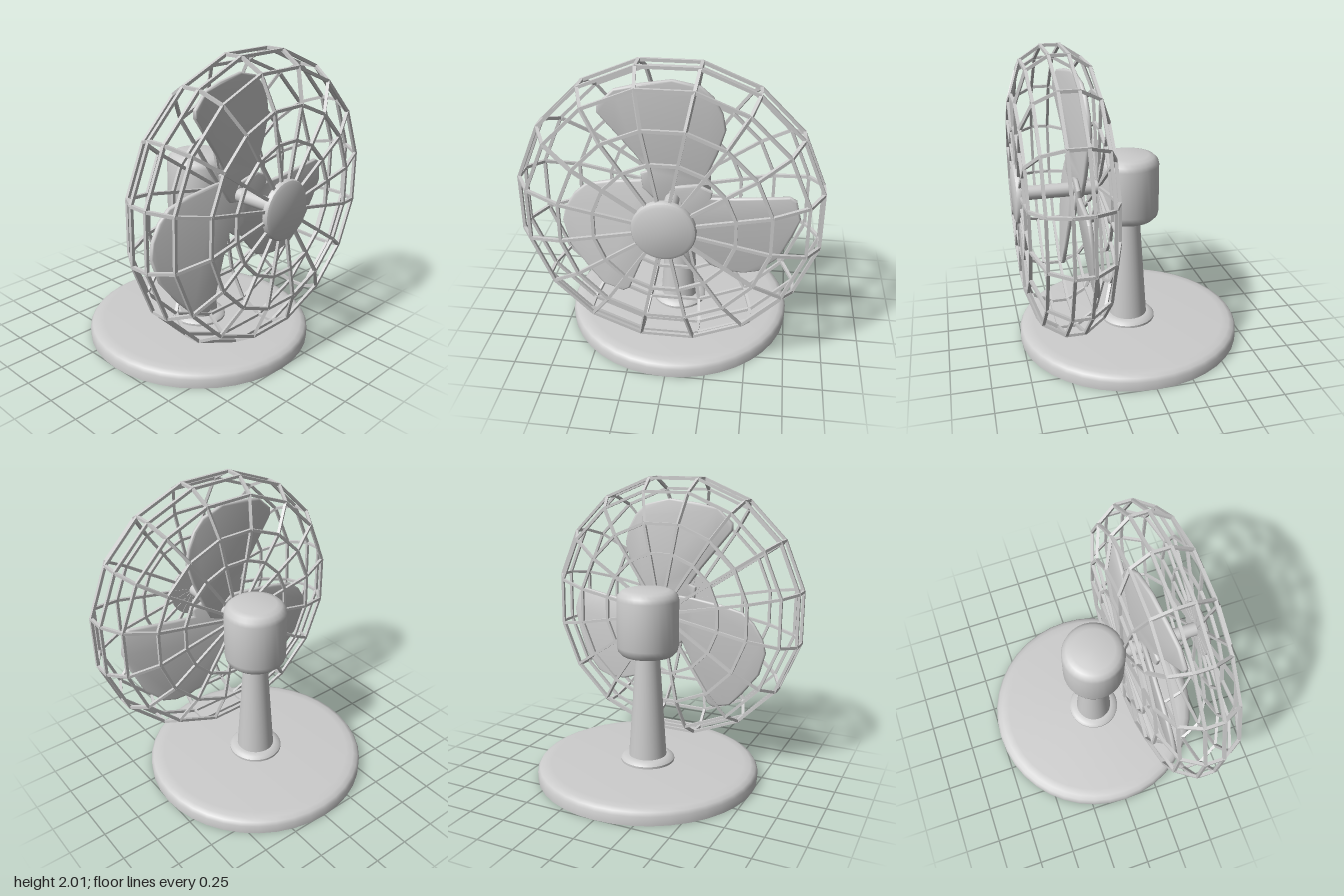
import * as THREE from 'three';
import { mergeGeometries, toCreasedNormals } from 'three/addons/utils/BufferGeometryUtils.js';

const AXIS_Y = 1.09; // height of the fan axle, which points along +x

const grey = new THREE.MeshStandardMaterial({ color: 0xcccccc });
grey.name = 'grey';

function mesh(name, geometry) {
  const m = new THREE.Mesh(geometry, grey);
  m.name = name;
  return m;
}

// Turned part around y from [radius, height] pairs, bottom to top
function turned(points, sides = 32) {
  const g = new THREE.LatheGeometry(points.map(([r, y]) => new THREE.Vector2(r, y)), sides);
  return toCreasedNormals(g, 0.6);
}

// Square wire between two points
function strut(a, b, size = 0.019) {
  const g = new THREE.BoxGeometry(size, size, a.distanceTo(b) + size * 0.4);
  const o = new THREE.Object3D();
  o.position.copy(a);
  o.lookAt(b);
  o.position.add(b).multiplyScalar(0.5);
  o.updateMatrix();
  return g.applyMatrix4(o.matrix);
}

// Wire guard: rings joined by ribs that meet on the axle
function cageGeometry() {
  const sides = 16;
  const profile = [
    [0.20, 0], [0.20, 0.423], [0.20, 0.63], [0.27, 0.84], [0.40, 0.925],
    [0.52, 0.925], [0.655, 0.84], [0.725, 0.63], [0.725, 0.423], [0.725, 0],
  ];
  const point = ([x, r], i) => {
    const a = ((i + 0.5) / sides) * Math.PI * 2;
    return new THREE.Vector3(x, r * Math.cos(a), r * Math.sin(a));
  };
  const parts = [];
  for (let i = 0; i < sides; i++) {
    profile.forEach((p, j) => {
      if (p[1] > 0) parts.push(strut(point(p, i), point(p, i + 1)));
      if (j > 0) parts.push(strut(point(profile[j - 1], i), point(p, i)));
    });
  }
  return mergeGeometries(parts);
}

// Pitched blade with a swept leading corner and softened edge
function bladeGeometry() {
  const outline = [
    [0.02, -0.05], [0.12, 0], [0.18, 0.12], [0.26, 0.31], [0.305, 0.46], [0.285, 0.56],
    [0.23, 0.66], [0.16, 0.725], [0, 0.765], [-0.2, 0.74], [-0.33, 0.71], [-0.425, 0.62],
    [-0.425, 0.58], [-0.33, 0.46], [-0.22, 0.32], [-0.13, 0.19], [-0.18, 0.17],
    [-0.17, 0.08], [-0.08, -0.02],
  ];
  const shape = new THREE.Shape(outline.map(([u, v]) => new THREE.Vector2(u, v)));
  const g = new THREE.ExtrudeGeometry(shape, {
    depth: 0.012, bevelEnabled: true, bevelThickness: 0.009, bevelSize: 0.012, bevelSegments: 2,
  });
  const p = g.attributes.position;
  for (let i = 0; i < p.count; i++) p.setZ(i, p.getZ(i) + 0.342 - 0.13 * p.getX(i));
  g.rotateY(Math.PI / 2);
  return toCreasedNormals(g, 0.9);
}

export function createModel() {
  const model = new THREE.Group();
  model.name = 'deskFan';

  // Stand
  model.add(mesh('base', turned([
    [0, 0], [0.76, 0], [0.76, 0.06], [0.745, 0.083], [0.715, 0.096], [0.665, 0.1], [0, 0.1],
  ], 40)));
  model.add(mesh('collar', turned([
    [0.185, 0.095], [0.185, 0.115], [0.17, 0.132], [0.14, 0.14], [0, 0.14],
  ])));
  model.add(mesh('neck', turned([[0.13, 0.135], [0.08, 0.87]])));

  // Motor housing
  model.add(mesh('motorHousing', turned([
    [0, 0.85], [0.14, 0.85], [0.175, 0.86], [0.2, 0.885], [0.208, 0.92],
    [0.208, 1.235], [0.2, 1.265], [0.175, 1.29], [0.14, 1.3], [0, 1.3],
  ])));

  // Fan head, built around the axle
  const head = new THREE.Group();
  head.name = 'fanHead';
  head.position.y = AXIS_Y;
  model.add(head);

  const shaft = mesh('shaft', new THREE.CylinderGeometry(0.046, 0.046, 0.6, 20));
  shaft.rotation.z = -Math.PI / 2;
  shaft.position.x = 0.43;
  head.add(shaft);

  const cap = mesh('frontCap', turned([
    [0, 0.718], [0.192, 0.718], [0.192, 0.735], [0.185, 0.748], [0.165, 0.758], [0, 0.76],
  ]));
  cap.rotation.z = -Math.PI / 2;
  head.add(cap);

  head.add(mesh('wireGuard', cageGeometry()));

  const blade = bladeGeometry();
  for (let i = 0; i < 3; i++) {
    const b = mesh('blade', blade);
    b.rotation.x = (i * Math.PI * 2) / 3;
    head.add(b);
  }
  return model;
}
